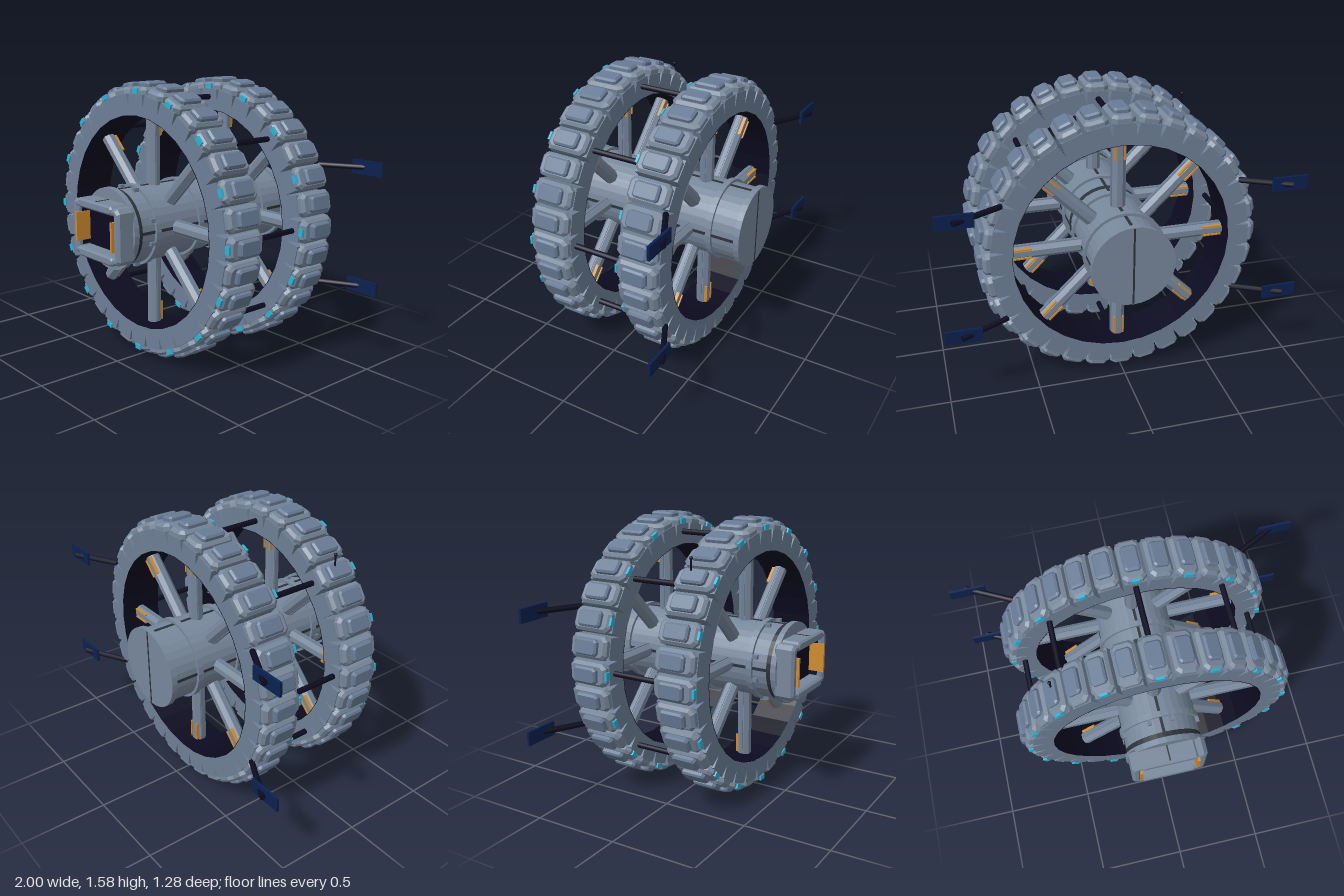
import * as THREE from 'three';

const CY = 0.795; // axle height
const mat = (name, color, side = THREE.FrontSide) => {
  const m = new THREE.MeshStandardMaterial({ color, side });
  m.name = name;
  return m;
};

export function createModel() {
  const M = {
    hull: mat('hull grey', 0x77879b),
    ring: mat('ring grey', 0x6d7f96),
    pad: mat('pad blue grey', 0x687b95),
    dark: mat('dark navy', 0x0c0b20, THREE.DoubleSide),
    seam: mat('seam charcoal', 0x2b3238),
    panel: mat('panel blue', 0x0b2150),
    cyan: mat('light cyan', 0x2fb3d6),
    orange: mat('trim orange', 0xcf8a30),
  };
  const root = new THREE.Group();
  root.name = 'rotatingStation';
  const body = new THREE.Group();
  body.name = 'body';
  body.position.y = CY;
  root.add(body);

  const add = (parent, name, geo, material, x = 0, y = 0, z = 0) => {
    const mesh = new THREE.Mesh(geo, material);
    mesh.name = name;
    mesh.position.set(x, y, z);
    parent.add(mesh);
    return mesh;
  };
  const flat = (geo) => {
    const g = geo.toNonIndexed();
    g.computeVertexNormals();
    return g;
  };
  const box = (w, h, d) => new THREE.BoxGeometry(w, h, d);
  // cylinder lying along z between two depths
  const drum = (r, z0, z1, n = 32) =>
    flat(new THREE.CylinderGeometry(r, r, z1 - z0, n).rotateX(Math.PI / 2).translate(0, 0, (z0 + z1) / 2));
  const cutRect = (w, h, c) => {
    const x = w / 2, y = h / 2;
    return [[x - c, -y], [x, -y + c], [x, y - c], [x - c, y], [-x + c, y], [-x, y - c], [-x, -y + c], [-x + c, -y]]
      .map(([a, b]) => new THREE.Vector2(a, b));
  };
  // bevelled slab standing on y = 0: w along x, d along z, h tall
  const slab = (w, d, h, bevel, cut) =>
    new THREE.ExtrudeGeometry(new THREE.Shape(cutRect(w - 2 * bevel, d - 2 * bevel, cut)), {
      depth: h - 2 * bevel, bevelEnabled: true, bevelThickness: bevel, bevelSize: bevel, bevelSegments: 1,
    }).translate(0, 0, bevel).rotateX(-Math.PI / 2);
  // group turned about the axle so that its +y points outwards
  const radial = (parent, name, angle) => {
    const g = new THREE.Group();
    g.name = name;
    g.rotation.z = -angle;
    parent.add(g);
    return g;
  };
  const rod = (parent, name, a, b, r, material, n = 8) => {
    const d = b.clone().sub(a);
    const m = add(parent, name, new THREE.CylinderGeometry(r, r, d.length(), n), material);
    m.position.copy(a).addScaledVector(d, 0.5);
    m.quaternion.setFromUnitVectors(new THREE.Vector3(0, 1, 0), d.normalize());
    return m;
  };

  // Habitat rings
  const N = 32, pitch = (Math.PI * 2) / N, W = 0.245;
  const outline = [];
  for (let i = 0; i < N; i++) {
    const a = (i + 0.5) * pitch; // V notch between modules
    for (const [r, da] of [[0.727, -0.017], [0.655, 0], [0.727, 0.017]])
      outline.push(new THREE.Vector2(r * Math.cos(a + da), r * Math.sin(a + da)));
  }
  const ringShape = new THREE.Shape(outline);
  const hole = new THREE.Path();
  for (let i = 0; i < N; i++) {
    const x = 0.61 * Math.cos(i * pitch), y = 0.61 * Math.sin(i * pitch);
    i ? hole.lineTo(x, y) : hole.moveTo(x, y);
  }
  hole.closePath();
  ringShape.holes.push(hole);
  const ringGeo = new THREE.ExtrudeGeometry(ringShape, { depth: W, bevelEnabled: false }).translate(0, 0, -W / 2);
  const liningGeo = flat(new THREE.CylinderGeometry(0.608, 0.608, W + 0.004, N, 1, true)
    .rotateY(Math.PI / 2).rotateX(Math.PI / 2));
  const grooveGeo = flat(new THREE.CylinderGeometry(0.66, 0.66, W - 0.004, N, 1, true).rotateX(Math.PI / 2));
  const baseGeo = slab(0.13, 0.236, 0.062, 0.016, 0.016);
  const padGeo = slab(0.09, 0.145, 0.045, 0.01, 0.008);
  const spokeGeo = flat(new THREE.CylinderGeometry(0.04, 0.04, 0.42, 8).rotateY(Math.PI / 8));

  for (const [name, z] of [['frontRing', 0.222], ['backRing', -0.322]]) {
    const ring = new THREE.Group();
    ring.name = name;
    ring.position.z = z;
    body.add(ring);
    add(ring, 'ringBody', ringGeo, M.ring);
    add(ring, 'ringLining', liningGeo, M.dark);
    add(ring, 'grooveFloor', grooveGeo, M.dark);
    for (let i = 0; i < N; i++) {
      const g = radial(ring, 'module', i * pitch);
      add(g, 'moduleBase', baseGeo, M.hull, 0, 0.701, 0);
      add(g, 'modulePad', padGeo, M.pad, 0, 0.745, 0);
      if (i % 2 === 0) add(g, 'moduleLight', box(0.045, 0.028, 0.014), M.cyan, 0, 0.742, 0.12);
    }
    for (let i = 0; i < 8; i++) {
      const g = radial(ring, 'spoke', (i * Math.PI) / 4);
      add(g, 'spokeBeam', spokeGeo, M.hull, 0, 0.4, 0);
      for (const s of [-1, 1]) {
        add(g, 'spokeRail', box(0.008, 0.4, 0.02), M.ring, s * 0.037, 0.4, 0);
        add(g, 'spokeTrim', box(0.009, 0.11, 0.02), M.orange, s * 0.025, 0.545, -0.031);
      }
    }
  }

  // Tie rods joining the rings
  for (let i = 0; i < 8; i++) {
    const a = (i * Math.PI) / 4, x = 0.68 * Math.sin(a), y = 0.68 * Math.cos(a);
    rod(body, 'tieRod', new THREE.Vector3(x, y, -0.21), new THREE.Vector3(x, y, 0.11), 0.016, M.dark);
  }

  // Central hub with flanges, bands and seams
  add(body, 'hub', drum(0.215, -0.635, 0.53), M.hull);
  for (const z of [0.484, 0.35, 0.04, -0.205, -0.47, -0.64])
    add(body, 'hubFlange', drum(0.231, z === 0.484 ? 0.5 : z, z === 0.484 ? 0.532 : z + 0.033), M.hull);
  add(body, 'hubBand', drum(0.2165, -0.1, -0.065), M.seam);
  add(body, 'hubBand', drum(0.2165, 0.468, 0.499), M.seam);
  for (let i = 0; i < 4; i++) {
    const g = radial(body, 'hubSeam', (i * Math.PI) / 2);
    add(g, 'seamStrip', box(0.016, 0.006, 1.1), M.seam, 0, 0.2145, -0.06);
    for (const s of [-1, 1])
      add(g, 'hubFitting', box(0.022, 0.035, 0.03), M.ring, s * 0.065, 0.205, 0.4);
  }
  add(body, 'backSeam', box(0.01, 0.45, 0.006), M.seam, 0, 0, -0.639);

  // Docking bay
  const bay = new THREE.Group();
  bay.name = 'dockingBay';
  body.add(bay);
  const bevel = 0.014;
  const bayShape = new THREE.Shape(cutRect(0.43 - 2 * bevel, 0.31 - 2 * bevel, 0.015));
  bayShape.holes.push(new THREE.Path(cutRect(0.33 + 2 * bevel, 0.226 + 2 * bevel, 0.004).reverse()));
  add(bay, 'bayFrame', new THREE.ExtrudeGeometry(bayShape, {
    depth: 0.09, bevelEnabled: true, bevelThickness: bevel, bevelSize: bevel, bevelSegments: 1,
  }).translate(0, 0, 0.526), M.hull);
  add(bay, 'bayFloor', box(0.34, 0.235, 0.01), M.dark, 0, 0, 0.545);
  for (const s of [-1, 1]) {
    add(bay, 'bayBar', slab(0.32, 0.05, 0.12, 0.01, 0.008).rotateX(Math.PI / 2), M.hull, 0, s * 0.14, 0.515);
    add(bay, 'bayTrim', box(0.014, 0.165, 0.09), M.orange, s * 0.164, 0, 0.597);
    add(bay, 'bayWallLining', box(0.004, 0.215, 0.06), M.dark, s * 0.163, 0, 0.57);
    add(bay, 'bayTopSeam', box(0.008, 0.004, 0.1), M.seam, 0, s * 0.165, 0.57);
  }

  // Solar panels on slanted arms
  for (const sx of [-1, 1])
    for (const y of [0.337, -0.338]) {
      rod(body, 'panelArm', new THREE.Vector3(sx * 0.65, y, -0.435),
        new THREE.Vector3(sx * 0.91, y, -0.57), 0.016, M.dark);
      add(body, 'solarPanel', box(0.2, 0.078, 0.014), M.panel, sx * 0.9, y, -0.547);
    }

  // Antenna on the front ring
  add(body, 'antennaMast', new THREE.CylinderGeometry(0.005, 0.005, 0.12, 8), M.dark, -0.54, 0.58, 0.2);
  add(body, 'antennaTip', new THREE.SphereGeometry(0.01, 10, 8), M.dark, -0.54, 0.637, 0.2);

  return root;
}
